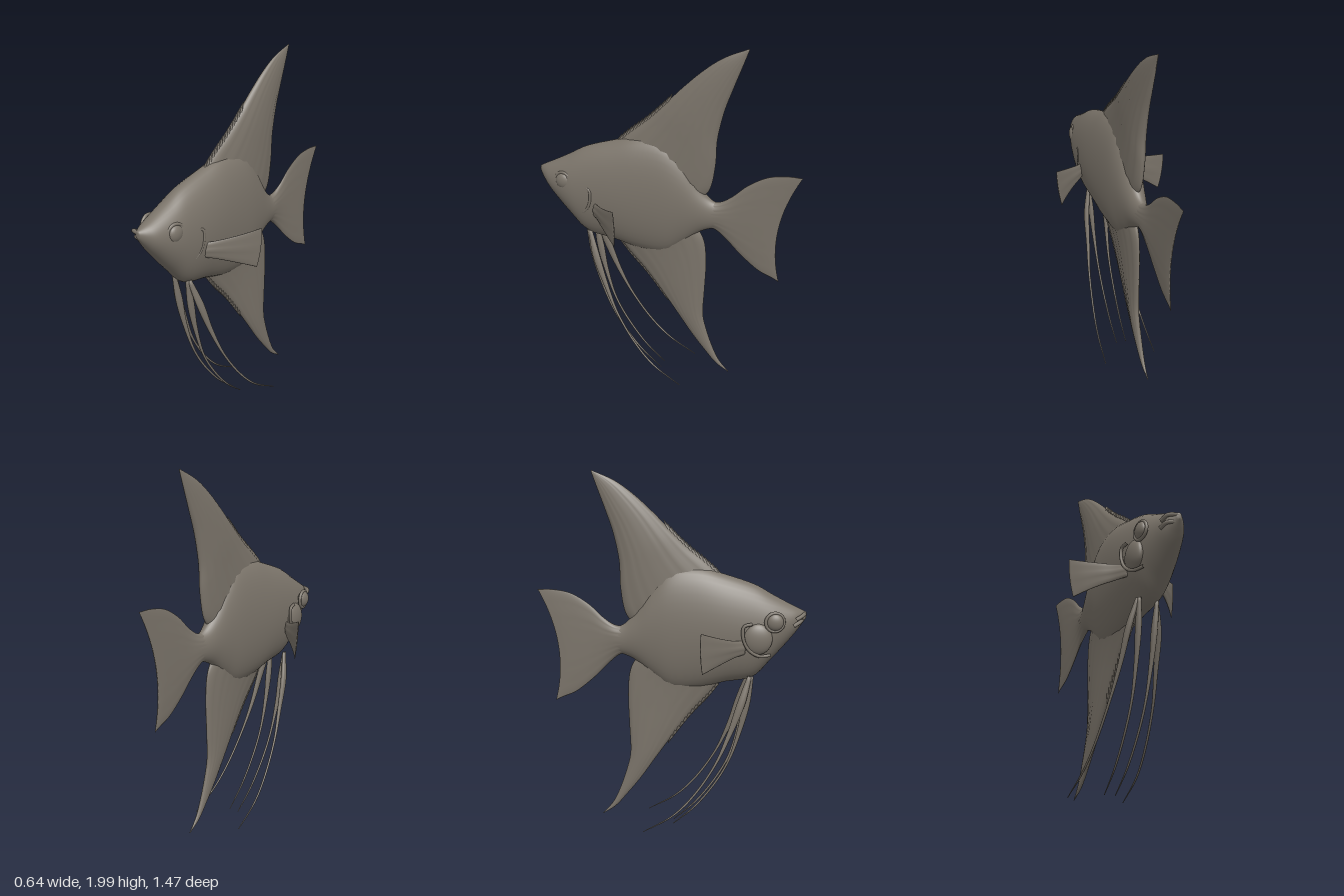
import * as THREE from 'three';

const skin = new THREE.MeshStandardMaterial({ color: 0x7b746a });
skin.name = 'grey brown skin';

const V = (x, y, z) => new THREE.Vector3(x, y, z);
const spline = (pts) => new THREE.CatmullRomCurve3(pts, false, 'catmullrom', 0.5);

// Skin over lens-shaped sections: each runs from a to b, is t thick to either side
// along `side`, and is bowed along `bowDir` by `bow` at its middle.
function loft(name, sections, { side = V(1, 0, 0), bowDir = V(0, 0, 1), steps = 6, n = 28, ripple = 0 } = {}) {
  const A = spline(sections.map((s) => s.a));
  const B = spline(sections.map((s) => s.b));
  const T = spline(sections.map((s) => V(s.t, s.bow || 0, 0)));
  const rows = (sections.length - 1) * steps;
  const pos = [], index = [];
  for (let j = 0; j <= rows; j++) {
    const k = j / rows;
    const a = A.getPoint(k), b = B.getPoint(k), t = T.getPoint(k);
    const mid = a.clone().add(b).multiplyScalar(0.5);
    const half = a.clone().sub(mid);
    for (let i = 0; i < n; i++) {
      const ang = (i / n) * Math.PI * 2, c = Math.cos(ang), s = Math.sin(ang);
      const thick = Math.max(t.x, 0.0008) * s * (1 + ripple * Math.cos(c * 22));
      const p = mid.clone().addScaledVector(half, c).addScaledVector(side, thick)
        .addScaledVector(bowDir, t.y * (1 - c * c));
      pos.push(p.x, p.y, p.z);
    }
  }
  // Choose the winding that faces outwards
  const m = sections.length >> 1;
  const centre = (s) => s.a.clone().add(s.b).multiplyScalar(0.5);
  const along = centre(sections[m]).sub(centre(sections[m - 1]));
  const out = sections[m].a.clone().sub(sections[m].b).cross(side).dot(along) > 0;
  const tri = (p, q, r) => (out ? index.push(p, q, r) : index.push(p, r, q));
  for (let j = 0; j < rows; j++) {
    for (let i = 0; i < n; i++) {
      const p = j * n + i, q = j * n + (i + 1) % n;
      tri(p, q, p + n);
      tri(q, q + n, p + n);
    }
  }
  // End caps
  for (let i = 0; i < n / 2; i++) {
    const p = i, q = i + 1, r = (n - i) % n, s = n - i - 1, e = rows * n;
    tri(p, s, q);
    tri(p, r, s);
    tri(e + p, e + q, e + s);
    tri(e + p, e + s, e + r);
  }
  const geo = new THREE.BufferGeometry();
  geo.setAttribute('position', new THREE.Float32BufferAttribute(pos, 3));
  geo.setIndex(index);
  geo.computeVertexNormals();
  return named(name, geo);
}

function named(name, geo) {
  const mesh = new THREE.Mesh(geo, skin);
  mesh.name = name;
  return mesh;
}

// Fin section in the middle plane: edge points as z, y; half thickness; bow
const flat = ([z1, y1, z2, y2, t, bow], lean = 0.03) =>
  ({ a: V(z1 * lean, y1, z1), b: V(z2 * lean, y2, z2), t, bow });

// Row of small spines along a fin's front edge
function spines(name, sections, from, to, count, up) {
  const group = new THREE.Group();
  group.name = name;
  const edge = spline(sections.map((s) => s.a));
  const dir = V(0, 0.9 * up, -0.42).normalize();
  for (let i = 0; i < count; i++) {
    const spine = named('spine', new THREE.ConeGeometry(0.013, 0.06, 6));
    spine.position.copy(edge.getPoint(from + ((to - from) * i) / (count - 1))).addScaledVector(dir, 0.012);
    spine.quaternion.setFromUnitVectors(V(0, 1, 0), dir);
    group.add(spine);
  }
  return group;
}

export function createModel() {
  const fish = new THREE.Group();
  fish.name = 'fish';

  // Body: z, top, bottom, half width
  const body = [
    [0.735, 1.25, 1.215, 0.012], [0.7, 1.268, 1.165, 0.045], [0.65, 1.292, 1.1, 0.075],
    [0.55, 1.345, 0.985, 0.104], [0.45, 1.4, 0.885, 0.114], [0.3, 1.45, 0.855, 0.116],
    [0.15, 1.49, 0.82, 0.108], [0, 1.48, 0.82, 0.094], [-0.1, 1.39, 0.89, 0.078],
    [-0.19, 1.25, 0.97, 0.058], [-0.26, 1.175, 1.005, 0.04], [-0.34, 1.15, 1.02, 0.022],
  ].map(([z, top, bottom, w]) => flat([z, top, z, bottom, w]));
  fish.add(loft('body', body, { n: 40 }));

  // Dorsal fin
  const dorsal = [
    [0.3, 1.42, -0.19, 1.16, 0.05], [0.2, 1.51, -0.25, 1.24, 0.047], [0.1, 1.59, -0.275, 1.38, 0.045],
    [0, 1.685, -0.28, 1.52, 0.043], [-0.1, 1.785, -0.31, 1.67, 0.036], [-0.2, 1.875, -0.35, 1.79, 0.027],
    [-0.3, 1.945, -0.39, 1.9, 0.016], [-0.42, 1.997, -0.422, 1.99, 0.002],
  ].map((r) => flat(r));
  fish.add(loft('dorsalFin', dorsal, { ripple: 0.06, n: 48 }));
  fish.add(spines('dorsalSpines', dorsal, 0.06, 0.46, 15, 1));

  // Anal fin
  const anal = [
    [0.3, 0.9, -0.17, 1.02, 0.05], [0.22, 0.79, -0.225, 0.92, 0.038], [0.12, 0.68, -0.24, 0.78, 0.032],
    [0.02, 0.55, -0.235, 0.6, 0.029], [-0.08, 0.41, -0.23, 0.44, 0.026], [-0.17, 0.28, -0.25, 0.34, 0.021],
    [-0.25, 0.18, -0.29, 0.22, 0.016], [-0.32, 0.1, -0.335, 0.125, 0.01], [-0.395, 0.05, -0.395, 0.055, 0.002],
  ].map((r) => flat(r));
  fish.add(loft('analFin', anal, { ripple: 0.06, n: 48 }));
  fish.add(spines('analSpines', anal, 0.08, 0.4, 14, -1));

  // Tail fin with a hollow rear edge
  const tail = [
    [-0.22, 1.17, -0.22, 1.0, 0.045], [-0.3, 1.168, -0.28, 1.005, 0.033], [-0.37, 1.21, -0.35, 0.95, 0.022],
    [-0.45, 1.285, -0.43, 0.87, 0.016, 0.01], [-0.55, 1.345, -0.53, 0.79, 0.012, 0.03],
    [-0.65, 1.365, -0.61, 0.755, 0.008, 0.05], [-0.73, 1.365, -0.65, 0.735, 0.003, 0.065],
  ].map((r) => flat(r));
  fish.add(loft('tailFin', tail, { ripple: 0.06, n: 48 }));

  for (const s of [1, -1]) {
    const label = s > 0 ? 'left' : 'right';

    // Pectoral fin: distance out, z, top, bottom, half thickness
    const pectoral = [
      [0.09, 0.4, 1.105, 1.03, 0.012], [0.14, 0.345, 1.115, 1.02, 0.011],
      [0.2, 0.29, 1.135, 1.005, 0.009], [0.26, 0.23, 1.16, 0.985, 0.007], [0.31, 0.175, 1.185, 0.965, 0.003],
    ].map(([x, z, top, bottom, t], i) =>
      ({ a: V(s * (x + i * 0.002), top, z), b: V(s * (x - i * 0.004), bottom, z + i * 0.002), t, bow: i * 0.002 }));
    fish.add(loft(label + 'PectoralFin', pectoral, {
      side: V(s * 0.707, 0, 0.707), bowDir: V(s * 0.7, 0, -0.7), ripple: 0.15,
    }));

    // Two trailing pelvic filaments: x, y, z along each
    const filaments = {
      InnerPelvicFilament: [[0.05, 0.9, 0.445], [0.045, 0.75, 0.42], [0.042, 0.6, 0.39], [0.038, 0.42, 0.335],
        [0.036, 0.27, 0.255], [0.033, 0.12, 0.14], [0.03, 0.008, 0.015]],
      OuterPelvicFilament: [[0.055, 0.9, 0.435], [0.085, 0.75, 0.39], [0.1, 0.58, 0.33], [0.12, 0.41, 0.255],
        [0.137, 0.24, 0.145], [0.15, 0.11, 0.02], [0.157, 0.012, -0.145]],
    };
    const widths = [0.012, 0.022, 0.014, 0.007, 0.006, 0.005, 0.002];
    for (const [part, pts] of Object.entries(filaments)) {
      const path = spline(pts.map(([x, y, z]) => V(s * x, y, z)));
      const sections = widths.map((w, i) => {
        const k = i / (widths.length - 1), p = path.getPoint(k), d = path.getTangent(k);
        const across = V(0, -d.z, d.y).normalize().multiplyScalar(w);
        return { a: p.clone().add(across), b: p.clone().sub(across), t: Math.min(w, 0.004 + w * 0.5) };
      });
      fish.add(loft(label + part, sections, { n: 12 }));
    }

    // Eye in its raised socket
    const eye = named(label + 'Eye', new THREE.SphereGeometry(0.046, 24, 16));
    eye.scale.x = 0.55;
    eye.position.set(s * 0.1, 1.21, 0.56);
    const socket = named(label + 'EyeSocket', new THREE.TorusGeometry(0.049, 0.009, 10, 32));
    socket.position.set(s * 0.1, 1.21, 0.56);
    socket.rotation.y = s * (Math.PI / 2 - 0.15);
    fish.add(eye, socket);

    // Gill cover with its raised rear rim
    const gill = named(label + 'GillCover', new THREE.SphereGeometry(1, 28, 18));
    gill.scale.set(0.035, 0.085, 0.08);
    gill.position.set(s * 0.09, 1.115, 0.47);
    const rim = spline([V(s * 0.112, 1.2, 0.44), V(s * 0.122, 1.185, 0.395), V(s * 0.122, 1.12, 0.395),
      V(s * 0.115, 1.06, 0.425), V(s * 0.1, 1.025, 0.48), V(s * 0.075, 1.025, 0.54)]);
    fish.add(gill, named(label + 'GillRim', new THREE.TubeGeometry(rim, 30, 0.009, 8)));
  }

  // Lips
  const lip = (name, y, z, w) => {
    const curve = spline([V(-w, y - 0.02, z - 0.05), V(-w * 0.65, y, z - 0.015), V(0.015, y + 0.005, z),
      V(w * 0.75, y, z - 0.015), V(w, y - 0.02, z - 0.05)]);
    fish.add(named(name, new THREE.TubeGeometry(curve, 24, 0.011, 8)));
  };
  lip('upperLip', 1.235, 0.725, 0.05);
  lip('lowerLip', 1.2, 0.712, 0.048);

  return fish;
}
